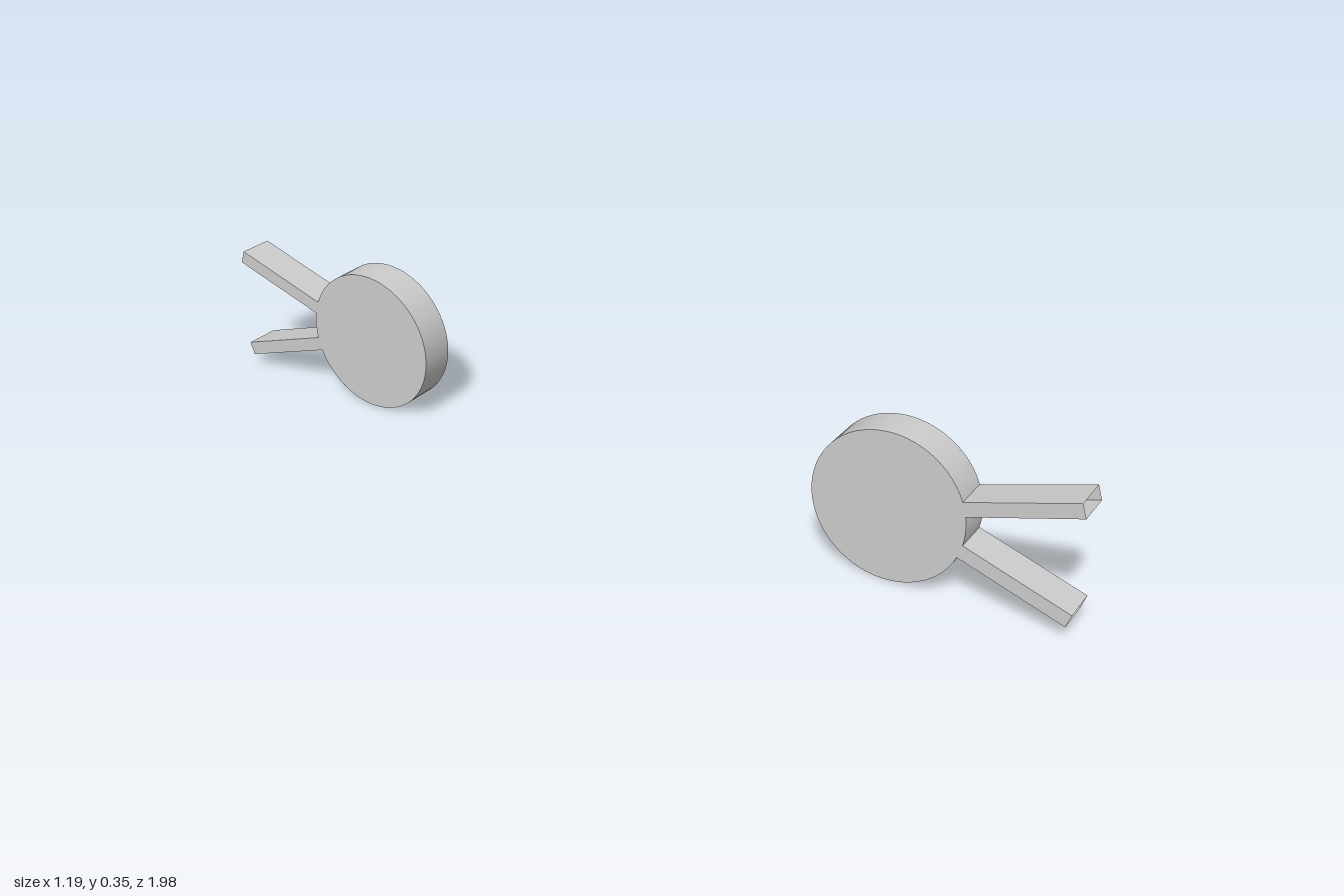
import * as THREE from 'three';

const RADIUS = 0.1765, THICK = 0.086, CENTER_Y = 0.177;
const ARM_ANGLE = Math.PI / 10, ARM_LENGTH = 0.3, ARM_HEIGHT = 0.0335;

// Rectangular bar along x with both ends open
function openBar(length, height, depth) {
  const g = new THREE.BoxGeometry(length, height, depth);
  g.setIndex(Array.from(g.index.array).slice(12)); // drop the two x end faces
  g.clearGroups();
  return g;
}

// One disc with a pair of spreading arms along local +x
function createClip(name) {
  const clip = new THREE.Group();
  clip.name = name;
  const grey = new THREE.MeshStandardMaterial({ color: 0xcccccc });
  const greyOpen = new THREE.MeshStandardMaterial({ color: 0xcccccc, side: THREE.DoubleSide });

  const disc = new THREE.Mesh(new THREE.CylinderGeometry(RADIUS, RADIUS, THICK, 64), grey);
  disc.name = 'disc';
  disc.rotation.x = Math.PI / 2;
  clip.add(disc);

  for (const side of [1, -1]) {
    const arm = new THREE.Mesh(openBar(ARM_LENGTH, ARM_HEIGHT, THICK), greyOpen);
    arm.name = side > 0 ? 'upperArm' : 'lowerArm';
    arm.position.set(0.269, side * 0.083, 0);
    arm.rotation.z = side * ARM_ANGLE;
    clip.add(arm);
  }
  return clip;
}

export function createModel() {
  const model = new THREE.Group();
  model.name = 'discPair';
  // Two identical pieces, half a turn apart about the vertical axis
  for (const [name, s] of [['frontClip', 1], ['backClip', -1]]) {
    const clip = createClip(name);
    clip.position.set(s * 0.351, CENTER_Y, s * 0.608);
    clip.rotation.y = -Math.PI / 3 + (s < 0 ? Math.PI : 0);
    model.add(clip);
  }
  return model;
}
